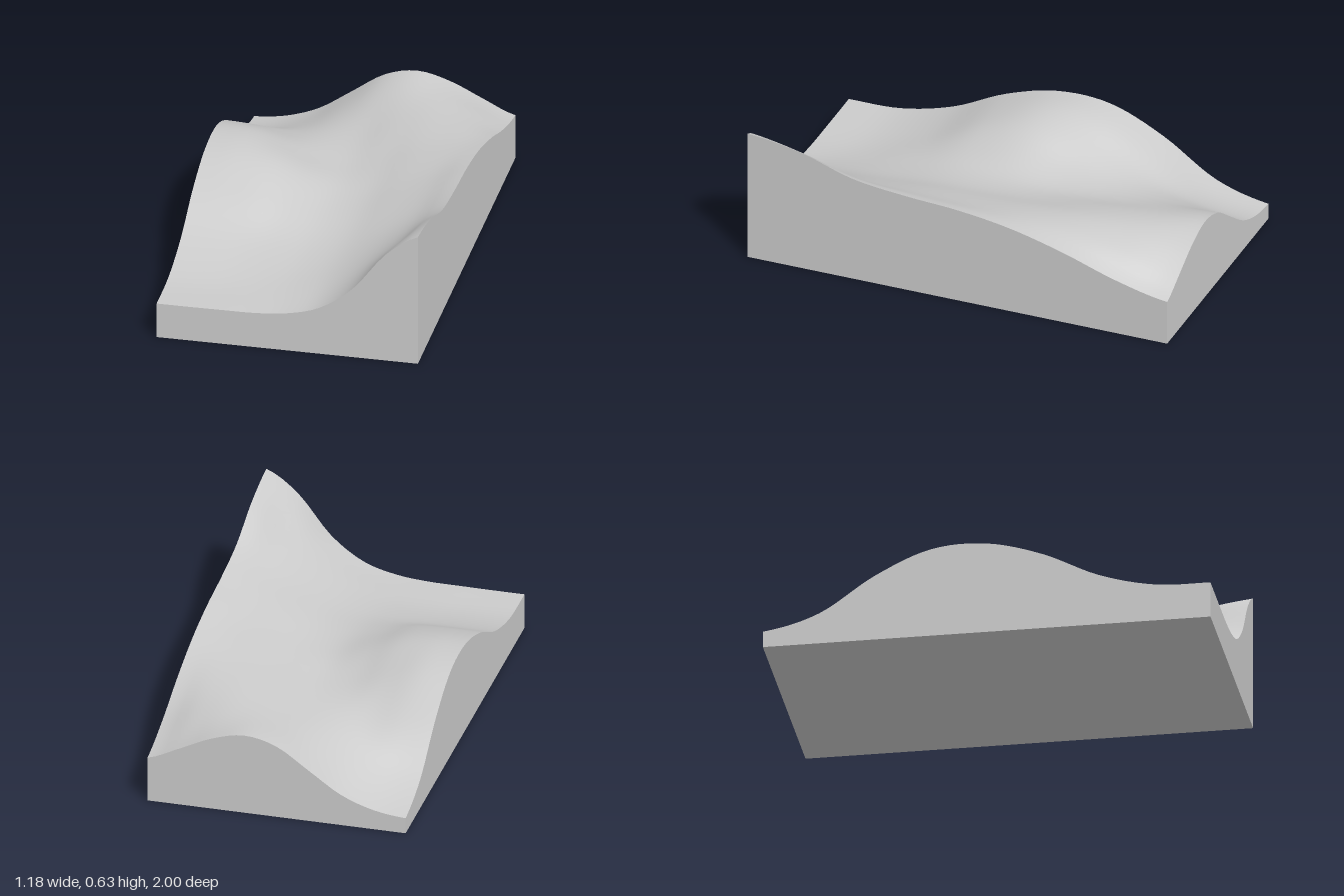
import * as THREE from 'three';

const W = 1.18, D = 2, NX = 32, NZ = 48;

// Control heights: rows run back to front, columns run from -x to +x
const HEIGHTS = [
  [0.075, 0.095, 0.15, 0.25, 0.35, 0.385, 0.35, 0.28, 0.213],
  [0.145, 0.16, 0.20, 0.265, 0.325, 0.365, 0.37, 0.335, 0.27],
  [0.31, 0.30, 0.28, 0.285, 0.305, 0.35, 0.38, 0.38, 0.355],
  [0.42, 0.41, 0.365, 0.315, 0.30, 0.33, 0.375, 0.405, 0.422],
  [0.43, 0.43, 0.405, 0.35, 0.31, 0.32, 0.365, 0.41, 0.46],
  [0.36, 0.36, 0.35, 0.315, 0.295, 0.31, 0.36, 0.415, 0.478],
  [0.24, 0.24, 0.24, 0.245, 0.255, 0.285, 0.345, 0.42, 0.51],
  [0.175, 0.175, 0.178, 0.19, 0.215, 0.26, 0.34, 0.455, 0.59],
  [0.167, 0.167, 0.168, 0.17, 0.185, 0.23, 0.34, 0.525, 0.63],
];

// Catmull-Rom interpolation along a row of values, t from 0 to 1
function spline(values, t) {
  const last = values.length - 1;
  const i = Math.min(Math.floor(t * last), last - 1);
  const f = t * last - i;
  const p = (k) => values[Math.min(Math.max(k, 0), last)];
  const a = p(i - 1), b = p(i), c = p(i + 1), d = p(i + 2);
  return b + 0.5 * f * (c - a + f * (2 * a - 5 * b + 4 * c - d + f * (3 * (b - c) + d - a)));
}

// Terrain height at u (across) and v (back to front)
const height = (u, v) => spline(HEIGHTS.map((row) => spline(row, u)), v);

// Smooth rolling top surface
function terrainGeometry() {
  const g = new THREE.PlaneGeometry(W, D, NX, NZ).rotateX(-Math.PI / 2);
  const p = g.attributes.position;
  for (let i = 0; i < p.count; i++) {
    const u = THREE.MathUtils.clamp(p.getX(i) / W + 0.5, 0, 1);
    const v = THREE.MathUtils.clamp(p.getZ(i) / D + 0.5, 0, 1);
    p.setY(i, height(u, v));
  }
  g.computeVertexNormals();
  return g;
}

// Flat wall from the base up to the terrain edge
function wallGeometry(width, segments, profile) {
  const g = new THREE.PlaneGeometry(width, 1, segments, 1);
  const p = g.attributes.position;
  for (let i = 0; i < p.count; i++) {
    const t = THREE.MathUtils.clamp(p.getX(i) / width + 0.5, 0, 1);
    p.setY(i, p.getY(i) > 0 ? profile(t) : 0);
  }
  return g;
}

export function createModel() {
  const group = new THREE.Group();
  group.name = 'terrainBlock';
  const material = new THREE.MeshStandardMaterial({ color: 0xcccccc });
  const add = (name, geometry) => {
    const mesh = new THREE.Mesh(geometry, material);
    mesh.name = name;
    group.add(mesh);
    return mesh;
  };

  add('terrainSurface', terrainGeometry());

  // Four side walls, each turned to face outwards
  const walls = [
    ['frontWall', W, NX, 0, [0, D / 2], (t) => height(t, 1)],
    ['leftWall', D, NZ, Math.PI / 2, [W / 2, 0], (t) => height(1, 1 - t)],
    ['backWall', W, NX, Math.PI, [0, -D / 2], (t) => height(1 - t, 0)],
    ['rightWall', D, NZ, -Math.PI / 2, [-W / 2, 0], (t) => height(0, t)],
  ];
  for (const [name, width, segments, turn, [x, z], profile] of walls) {
    const wall = add(name, wallGeometry(width, segments, profile));
    wall.rotation.y = turn;
    wall.position.set(x, 0, z);
  }

  // Underside
  add('base', new THREE.PlaneGeometry(W, D).rotateX(Math.PI / 2));

  return group;
}
